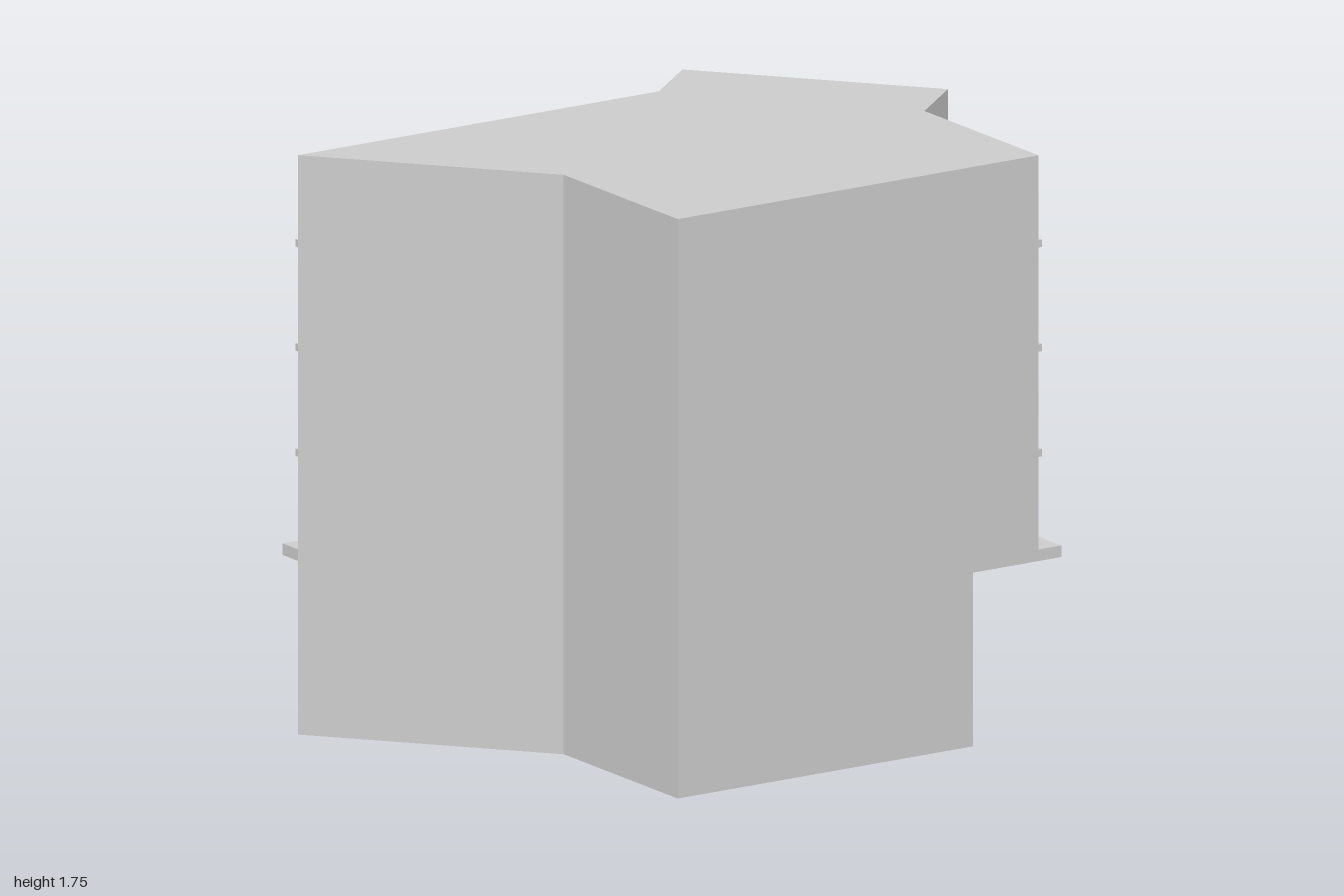
import * as THREE from 'three';

const material = new THREE.MeshStandardMaterial({ color: 0xcccccc, flatShading: true });

// Vertical prism from a plan outline of [x, z] corners
function prism(name, plan, y0, y1) {
  const shape = new THREE.Shape(plan.map(([x, z]) => new THREE.Vector2(x, -z)));
  const geometry = new THREE.ExtrudeGeometry(shape, { depth: y1 - y0, bevelEnabled: false });
  geometry.rotateX(-Math.PI / 2).translate(0, y0, 0);
  const mesh = new THREE.Mesh(geometry, material);
  mesh.name = name;
  return mesh;
}

// Plan: left side and front are shared by every level
const FRONT = 0.685, BACK = -0.525, CORNER = 0.09;
const shared = [[-1, BACK], [-0.48, CORNER], [-0.48, FRONT]];

// Street corner: the slanted wall runs 0.52 in x and 0.615 in z
const RUN = [0.52, 0.615];
const LEN = Math.hypot(...RUN);
const ALONG = [-RUN[0] / LEN, -RUN[1] / LEN];
const OUT = [RUN[1] / LEN, -RUN[0] / LEN];

// Point on the slanted wall: s along it from the right wall, d outwards
const onCorner = (wallX, s, d) => [
  wallX + ALONG[0] * s + OUT[0] * d,
  CORNER + ALONG[1] * s + OUT[1] * d,
];

// Upper storey outline, with an optional bay standing out from the corner
function storey(wallX, bay = 0, back = BACK) {
  const plan = [...shared, [wallX, FRONT], [wallX, CORNER]];
  if (bay) plan.push(onCorner(wallX, 0, bay), onCorner(wallX, LEN, bay));
  plan.push([wallX - RUN[0], BACK]);
  if (back !== BACK) plan.push([wallX - RUN[0], back], [-1, back]);
  return plan;
}

// Ground storey outline with a shop window niche and stepped entrance recesses
const GROUND_X = 0.56, NICHE_X = 0.53;
function groundPlan(recesses) {
  const plan = [...shared, [GROUND_X, FRONT], [GROUND_X, 0.67], [NICHE_X, 0.67],
    [NICHE_X, 0.105], [GROUND_X, 0.105], [GROUND_X, CORNER]];
  const near = [], far = [];
  let depth = 0;
  for (const [margin, nextDepth] of recesses) {
    near.push(onCorner(GROUND_X, margin, -depth), onCorner(GROUND_X, margin, -nextDepth));
    far.unshift(onCorner(GROUND_X, LEN - margin, -nextDepth), onCorner(GROUND_X, LEN - margin, -depth));
    depth = nextDepth;
  }
  return [...plan, ...near, ...far, [GROUND_X - RUN[0], BACK]];
}

// Flat panel on the right wall, given in z and y, with an optional window hole
function wallPanel(name, [z0, z1, y0, y1], x0, x1, hole) {
  const rect = (Type, a, b, c, d) => {
    const path = new Type();
    path.moveTo(-a, c);
    path.lineTo(-b, c);
    path.lineTo(-b, d);
    path.lineTo(-a, d);
    path.closePath();
    return path;
  };
  const shape = rect(THREE.Shape, z0, z1, y0, y1);
  if (hole) shape.holes.push(rect(THREE.Path, ...hole));
  const geometry = new THREE.ExtrudeGeometry(shape, { depth: x1 - x0, bevelEnabled: false });
  geometry.rotateY(Math.PI / 2).translate(x0, 0, 0);
  const mesh = new THREE.Mesh(geometry, material);
  mesh.name = name;
  return mesh;
}

export function createModel() {
  const building = new THREE.Group();
  building.name = 'cornerBuilding';

  // Ground storey in layers, so the entrance steps back in height and depth
  const outer = [0.04, 0.115], inner = [0.073, 0.235];
  const layers = [
    ['groundSlab', [], 0, 0.01],
    ['entranceLower', [outer, inner], 0.01, 0.235],
    ['entranceUpper', [outer], 0.235, 0.3],
    ['groundWallTop', [], 0.3, 0.525],
  ];
  for (const [name, recesses, y0, y1] of layers) {
    building.add(prism(name, groundPlan(recesses), y0, y1));
  }

  // Shop window, sign panel and the rail between them
  building.add(
    wallPanel('shopWindowFrame', [0.105, 0.67, 0, 0.315], NICHE_X, 0.55, [0.145, 0.63, 0.135, 0.285]),
    wallPanel('shopRail', [0.105, 0.67, 0.315, 0.34], NICHE_X, 0.565),
    wallPanel('fasciaPanel', [0.105, 0.67, 0.34, 0.525], NICHE_X, 0.55),
  );

  // Canopy over the pavement
  building.add(prism('canopy', storey(0.87, 0, -0.605), 0.525, 0.56));

  // Upper storeys, the corner bay growing in two steps
  const WALL_X = 0.79, SMALL_BAY = 0.142, LARGE_BAY = 0.253;
  building.add(
    prism('firstFloor', storey(WALL_X), 0.56, 0.865),
    prism('secondFloor', storey(WALL_X, SMALL_BAY), 0.865, 1.165),
    prism('topFloors', storey(WALL_X, LARGE_BAY), 1.165, 1.752),
  );

  // Thin string courses at each floor line
  for (const [y, bay] of [[0.84, 0], [1.158, LARGE_BAY], [1.473, LARGE_BAY]]) {
    building.add(prism('stringCourse', storey(WALL_X + 0.013, bay, BACK - 0.013), y, y + 0.022));
  }
  return building;
}
